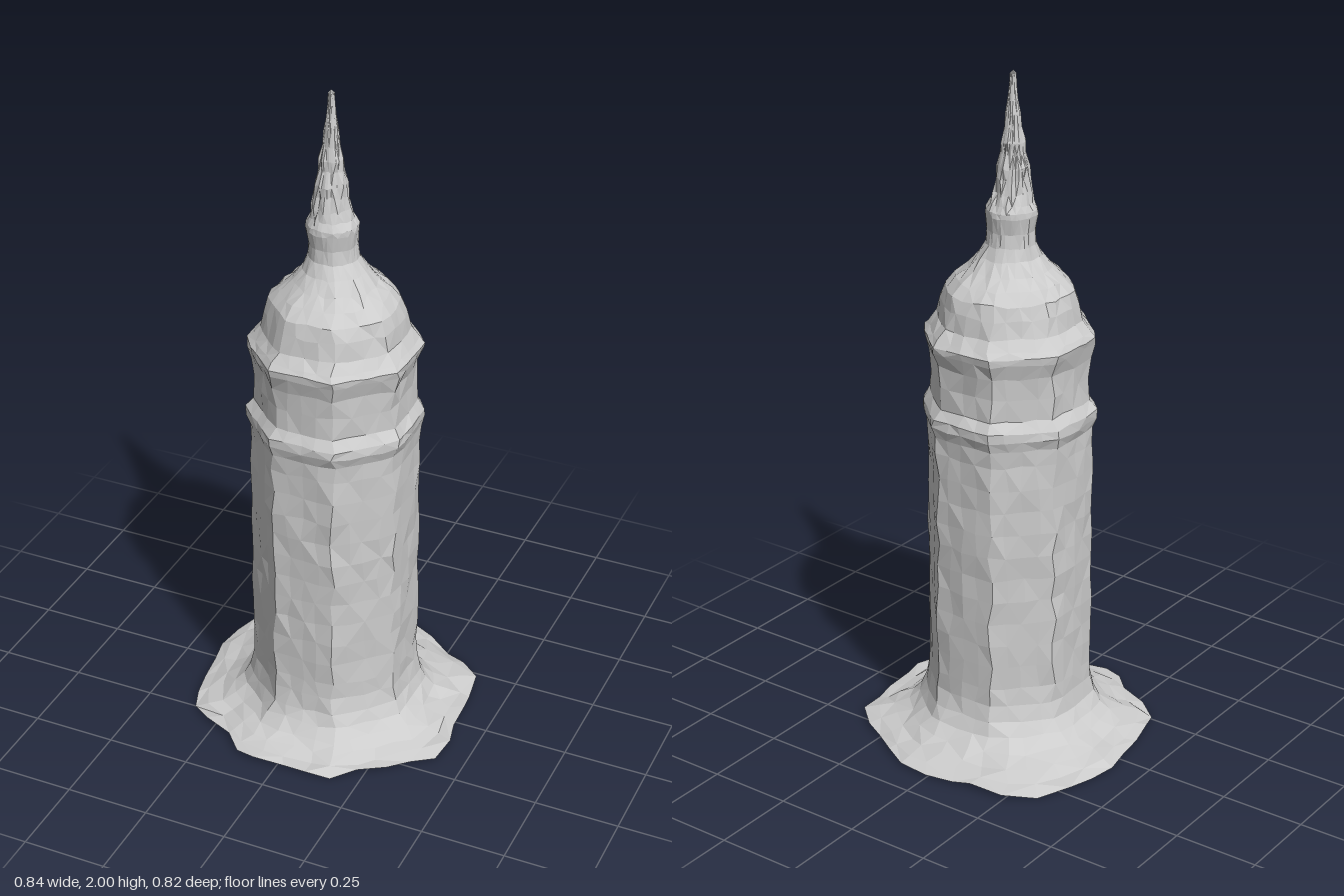
import * as THREE from 'three';

const SIDES = 32;
const material = new THREE.MeshStandardMaterial({ color: 0xcccccc, flatShading: true, side: THREE.DoubleSide });

// Repeatable surface roughness in -1..1, fixed by height and side
function rough(y, i, seed) {
  const s = Math.sin(y * 157.3 + (i % SIDES) * 12.989 + seed * 78.233) * 43758.545;
  return (s - Math.floor(s)) * 2 - 1;
}

// Ragged outer edge of the foot, as x, z corners
const EDGE = [
  [0.42, 0.09], [0.42, 0.17], [0.3, 0.28], [0.18, 0.4], [-0.05, 0.41], [-0.13, 0.4],
  [-0.2, 0.34], [-0.36, 0.25], [-0.38, 0.13], [-0.42, -0.1], [-0.36, -0.25], [-0.31, -0.37],
  [-0.15, -0.38], [0.09, -0.415], [0.24, -0.32], [0.38, -0.23], [0.4, -0.12], [0.4, 0],
];
const CX = 0.017, CZ = 0.022;

// Distance from the tower axis to the foot's edge along an angle
function edgeRadius(a) {
  const dx = Math.cos(a), dz = Math.sin(a);
  for (let k = 0; k < EDGE.length; k++) {
    const [x1, z1] = EDGE[k], [x2, z2] = EDGE[(k + 1) % EDGE.length];
    const px = x1 - CX, pz = z1 - CZ, ex = x2 - x1, ez = z2 - z1;
    const det = dx * ez - dz * ex;
    const r = (px * ez - pz * ex) / det, t = (px * dz - pz * dx) / det;
    if (r > 0 && t >= -1e-6 && t <= 1 + 1e-6) return r;
  }
  return 0.4;
}

// Octagon with softened corners; r is the distance to a flat side
function octagon(a, r, sharp) {
  const step = Math.PI / 4;
  const off = a - Math.round(a / step) * step;
  return r * (1 + sharp * (1 / Math.cos(off) - 1) + (1 - sharp) * 0.02);
}

// Loft through rings: { y, r, sharp, spread, noise, x, z }
function loft(name, rings) {
  const pos = [], index = [], row = SIDES + 1;
  rings.forEach(({ y, r, sharp = 0.85, spread = 0, noise = 0.004, x = CX, z = CZ }, j) => {
    for (let i = 0; i <= SIDES; i++) {
      const a = ((i % SIDES) + rough(y, i, 3) * 0.2) / SIDES * Math.PI * 2;
      const radius = THREE.MathUtils.lerp(octagon(a, r, sharp), edgeRadius(a), spread) + rough(y, i, 1) * noise;
      pos.push(x + Math.cos(a) * radius, y + rough(y, i, 2) * noise, z + Math.sin(a) * radius);
      if (j > 0 && i < SIDES) {
        const p = (j - 1) * row + i, q = p + row;
        if ((i + j) % 2) index.push(p, q, p + 1, q, q + 1, p + 1);
        else index.push(p, q, q + 1, p, q + 1, p + 1);
      }
    }
  });
  const geometry = new THREE.BufferGeometry();
  geometry.setAttribute('position', new THREE.Float32BufferAttribute(pos, 3));
  geometry.setIndex(index);
  geometry.computeVertexNormals();
  const mesh = new THREE.Mesh(geometry, material);
  mesh.name = name;
  return mesh;
}

export function createModel() {
  const group = new THREE.Group();
  group.name = 'tower';

  // Flared foot, open underneath
  const foot = [[0.012, 1], [0.022, 0.8], [0.035, 0.58], [0.055, 0.36], [0.085, 0.18], [0.12, 0.08], [0.17, 0.02]]
    .map(([y, spread]) => ({ y, spread, r: 0.228, noise: 0.003 + spread * 0.005 }));
  const shaftBase = { y: 0.22, r: 0.228 };
  group.add(loft('foot', [...foot, shaftBase]));

  // Long eight-sided shaft
  const shaft = [shaftBase];
  for (let y = 0.29; y < 0.95; y += 0.07) shaft.push({ y, r: 0.228 });
  const shaftTop = { y: 0.97, r: 0.229, noise: 0.002 };
  group.add(loft('shaft', [...shaft, shaftTop]));

  // Lower moulding, recessed band and cornice
  const cornice = { y: 1.26, r: 0.222, noise: 0.003 };
  group.add(loft('upperBand', [
    shaftTop,
    { y: 1.0, r: 0.238, noise: 0.003 },
    { y: 1.025, r: 0.237, noise: 0.003 },
    { y: 1.055, r: 0.218, noise: 0.003 },
    { y: 1.12, r: 0.216 },
    { y: 1.18, r: 0.219 },
    { y: 1.225, r: 0.232, noise: 0.003 },
    { y: 1.245, r: 0.234, noise: 0.003 },
    cornice,
  ]));

  // Bell-shaped roof
  const roofTop = { y: 1.51, r: 0.07, sharp: 0.2, noise: 0.002, x: 0.01, z: 0.02 };
  group.add(loft('roof', [
    cornice,
    { y: 1.29, r: 0.2, sharp: 0.7 },
    { y: 1.34, r: 0.19, sharp: 0.6 },
    { y: 1.38, r: 0.178, sharp: 0.5 },
    { y: 1.41, r: 0.15, sharp: 0.4 },
    { y: 1.44, r: 0.117, sharp: 0.3 },
    { y: 1.475, r: 0.088, sharp: 0.2, noise: 0.003 },
    roofTop,
  ]));

  // Small lantern below the spire
  const lanternTop = { y: 1.63, r: 0.06, sharp: 0.2, noise: 0.003, x: 0.007, z: 0.02 };
  group.add(loft('lantern', [
    roofTop,
    { y: 1.55, r: 0.066, sharp: 0.2, noise: 0.002, x: 0.009, z: 0.02 },
    { y: 1.595, r: 0.072, sharp: 0.2, noise: 0.002, x: 0.008, z: 0.02 },
    { y: 1.61, r: 0.071, sharp: 0.2, noise: 0.002, x: 0.008, z: 0.02 },
    lanternTop,
  ]));

  // Knobbly tapering spire
  const spire = [[1.66, 0.052], [1.7, 0.045], [1.73, 0.044], [1.77, 0.033], [1.8, 0.033], [1.84, 0.024],
    [1.88, 0.02], [1.92, 0.014], [1.96, 0.01], [1.99, 0.009], [2.0, 0]]
    .map(([y, r]) => ({ y, r, sharp: 0, noise: r * 0.1, x: 0.005, z: 0.022 }));
  group.add(loft('spire', [lanternTop, ...spire]));

  return group;
}
